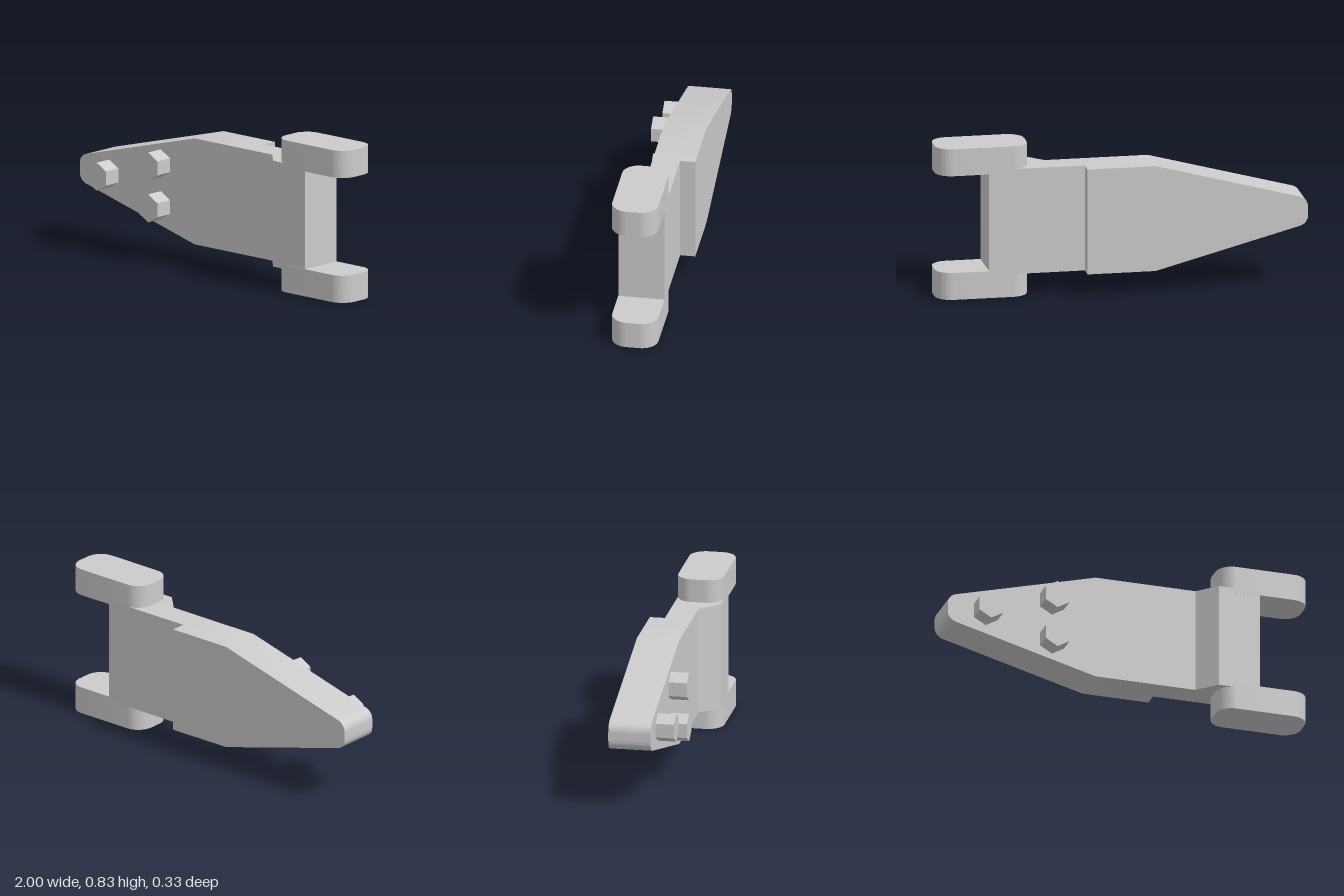
import * as THREE from 'three';
import { toCreasedNormals } from 'three/addons/utils/BufferGeometryUtils.js';

const MID = 0.4175; // height of the mirror plane

export function createModel() {
  const group = new THREE.Group();
  const grey = new THREE.MeshStandardMaterial({ color: 0xcccccc });
  const flatGrey = new THREE.MeshStandardMaterial({ color: 0xcccccc, flatShading: true });

  const add = (name, geometry, material = grey) => {
    const mesh = new THREE.Mesh(geometry, material);
    mesh.name = name;
    group.add(mesh);
    return mesh;
  };
  const extrude = (shape, depth) => toCreasedNormals(
    new THREE.ExtrudeGeometry(shape, { depth, bevelEnabled: false, curveSegments: 12 }), 0.5);
  // Extrude a plan outline, drawn as (x, -z), upwards from y0 to y1
  const extrudeUp = (shape, y0, y1) =>
    extrude(shape, y1 - y0).rotateX(-Math.PI / 2).translate(0, y0, 0);

  // Tapered plate with a rounded nose
  const plate = new THREE.Shape();
  plate.moveTo(0.2, MID - 0.291);
  plate.lineTo(0.2, MID + 0.291);
  plate.lineTo(-0.17, MID + 0.291);
  plate.lineTo(-0.955, MID + 0.081);
  plate.bezierCurveTo(-0.983, MID + 0.073, -1, MID + 0.05, -1, MID + 0.022);
  plate.lineTo(-1, MID - 0.022);
  plate.bezierCurveTo(-1, MID - 0.05, -0.983, MID - 0.073, -0.955, MID - 0.081);
  plate.lineTo(-0.17, MID - 0.291);
  plate.closePath();
  add('taperedPlate', extrude(plate, 0.23).translate(0, 0, -0.166));

  // Stepped web joining the plate to the lugs
  const web = new THREE.Shape([
    [0.2, -0.064], [0.39, -0.064], [0.49, -0.165], [0.72, -0.165], [0.72, 0.084], [0.2, 0.084],
  ].map(([x, y]) => new THREE.Vector2(x, y)));
  add('steppedWeb', extrudeUp(web, MID - 0.291, MID + 0.291));

  // Hinge lugs with rounded ends
  const lug = new THREE.Shape();
  const r = 0.09, x0 = 0.5, x1 = 1, b = -0.166, t = 0.084;
  lug.moveTo(x0 + r, b);
  lug.absarc(x1 - r, b + r, r, -Math.PI / 2, 0);
  lug.absarc(x1 - r, t - r, r, 0, Math.PI / 2);
  lug.absarc(x0 + r, t - r, r, Math.PI / 2, Math.PI);
  lug.absarc(x0 + r, b + r, r, Math.PI, Math.PI * 1.5);
  add('lowerLug', extrudeUp(lug, 0, 0.149));
  add('upperLug', extrudeUp(lug, 0.686, 0.835));

  // Hexagonal studs on the front face
  const stud = new THREE.CylinderGeometry(0.077, 0.077, 0.11, 6).rotateX(Math.PI / 2);
  [[-0.787, MID], [-0.415, MID + 0.115], [-0.415, MID - 0.115]].forEach(([x, y], i) =>
    add(`hexStud${i + 1}`, stud, flatGrey).position.set(x, y, 0.109));

  return group;
}
